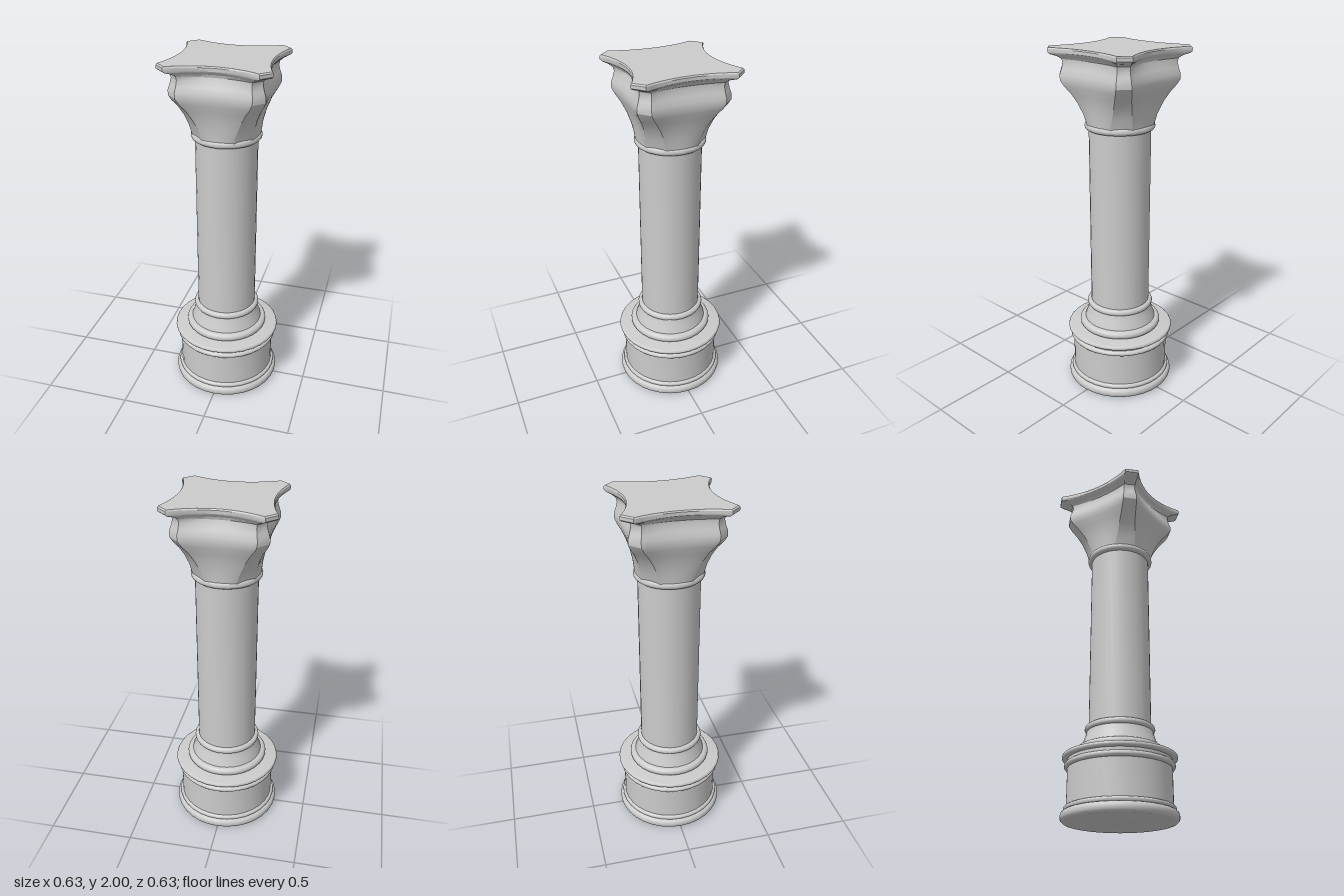
import * as THREE from 'three';
import { toCreasedNormals } from 'three/addons/utils/BufferGeometryUtils.js';

const SIDES = 32;

export function createModel() {
  const column = new THREE.Group();
  column.name = 'column';
  const material = new THREE.MeshStandardMaterial({ color: 0xcccccc });

  const add = (name, geometry, crease = 0.6) => {
    const mesh = new THREE.Mesh(toCreasedNormals(geometry, crease), material);
    mesh.name = name;
    column.add(mesh);
  };

  // Turned part from [radius, y] pairs, bottom to top
  const turned = (name, points) =>
    add(name, new THREE.LatheGeometry(points.map(([r, y]) => new THREE.Vector2(r, y)), SIDES));

  // Rounded moulding, closed at both ends
  const moulding = (name, y0, y1, radius, bulge) => {
    const points = [[0, y0]];
    for (let i = 0; i <= 8; i++) {
      const a = -Math.PI / 2 + (i / 8) * Math.PI;
      points.push([radius - bulge + bulge * Math.cos(a), (y0 + y1) / 2 + ((y1 - y0) / 2) * Math.sin(a)]);
    }
    points.push([0, y1]);
    turned(name, points);
  };

  // Pedestal
  moulding('footMoulding', 0, 0.055, 0.314, 0.02);
  moulding('footFillet', 0.052, 0.08, 0.298, 0.012);
  turned('pedestalDrum', [[0.283, 0.07], [0.283, 0.34]]);
  moulding('pedestalUpperMoulding', 0.278, 0.31, 0.3, 0.016);
  moulding('pedestalTopPlate', 0.328, 0.353, 0.313, 0.01);

  // Shaft with its flared base and collars
  moulding('baseMoulding', 0.353, 0.4, 0.241, 0.023);
  turned('flaredBase', [[0.213, 0.39], [0.207, 0.41], [0.196, 0.44], [0.186, 0.47], [0.18, 0.495]]);
  moulding('lowerCollar', 0.483, 0.52, 0.194, 0.018);
  turned('shaft', [[0.172, 0.5], [0.172, 1.58]]);
  moulding('upperCollar', 1.56, 1.6, 0.194, 0.018);

  add('capital', capitalGeometry(), 0.5);
  return column;
}

// Bell and slab of the capital: four curved sides with cut corners
function capitalGeometry() {
  // y, corner far coordinate, corner near coordinate, middle of front/back, middle of left/right
  const rows = [
    [1.59, 0.167, 0.088, 0.185, 0.185],
    [1.65, 0.178, 0.103, 0.191, 0.191],
    [1.71, 0.195, 0.128, 0.202, 0.202],
    [1.76, 0.216, 0.155, 0.217, 0.217],
    [1.8, 0.24, 0.182, 0.233, 0.233],
    [1.83, 0.253, 0.197, 0.24, 0.24],
    [1.86, 0.253, 0.199, 0.238, 0.238],
    [1.89, 0.243, 0.194, 0.226, 0.228],
    [1.92, 0.236, 0.191, 0.212, 0.218],
    [1.94, 0.24, 0.194, 0.207, 0.218],
    [1.955, 0.258, 0.208, 0.212, 0.228],
    [1.966, 0.287, 0.232, 0.225, 0.244],
    [1.975, 0.295, 0.24, 0.23, 0.25],
    [1.993, 0.295, 0.24, 0.23, 0.25],
    [2.0, 0.289, 0.236, 0.225, 0.245],
  ];
  const steps = 14;
  const ringSize = 4 * (steps + 1);
  const positions = [];
  const index = [];

  for (const [y, far, near, midZ, midX] of rows) {
    for (let side = 0; side < 4; side++) {
      const mid = side % 2 ? midX : midZ;
      const c = Math.round(Math.cos((side * Math.PI) / 2));
      const s = Math.round(Math.sin((side * Math.PI) / 2));
      for (let i = 0; i <= steps; i++) {
        const t = (2 * i) / steps - 1;
        const u = t * near;
        const out = mid + (far - mid) * t * t;
        positions.push(u * c + out * s, y, out * c - u * s);
      }
    }
  }
  for (let r = 0; r < rows.length - 1; r++) {
    for (let i = 0; i < ringSize; i++) {
      const a = r * ringSize + i;
      const b = r * ringSize + ((i + 1) % ringSize);
      index.push(a, b, b + ringSize, a, b + ringSize, a + ringSize);
    }
  }
  // Close top and bottom with fans
  const top = (rows.length - 1) * ringSize;
  const centre = rows.length * ringSize;
  positions.push(0, 2, 0, 0, rows[0][0], 0);
  for (let i = 0; i < ringSize; i++) {
    const next = (i + 1) % ringSize;
    index.push(centre, top + i, top + next, centre + 1, next, i);
  }

  const geometry = new THREE.BufferGeometry();
  geometry.setAttribute('position', new THREE.Float32BufferAttribute(positions, 3));
  geometry.setIndex(index);
  return geometry;
}
